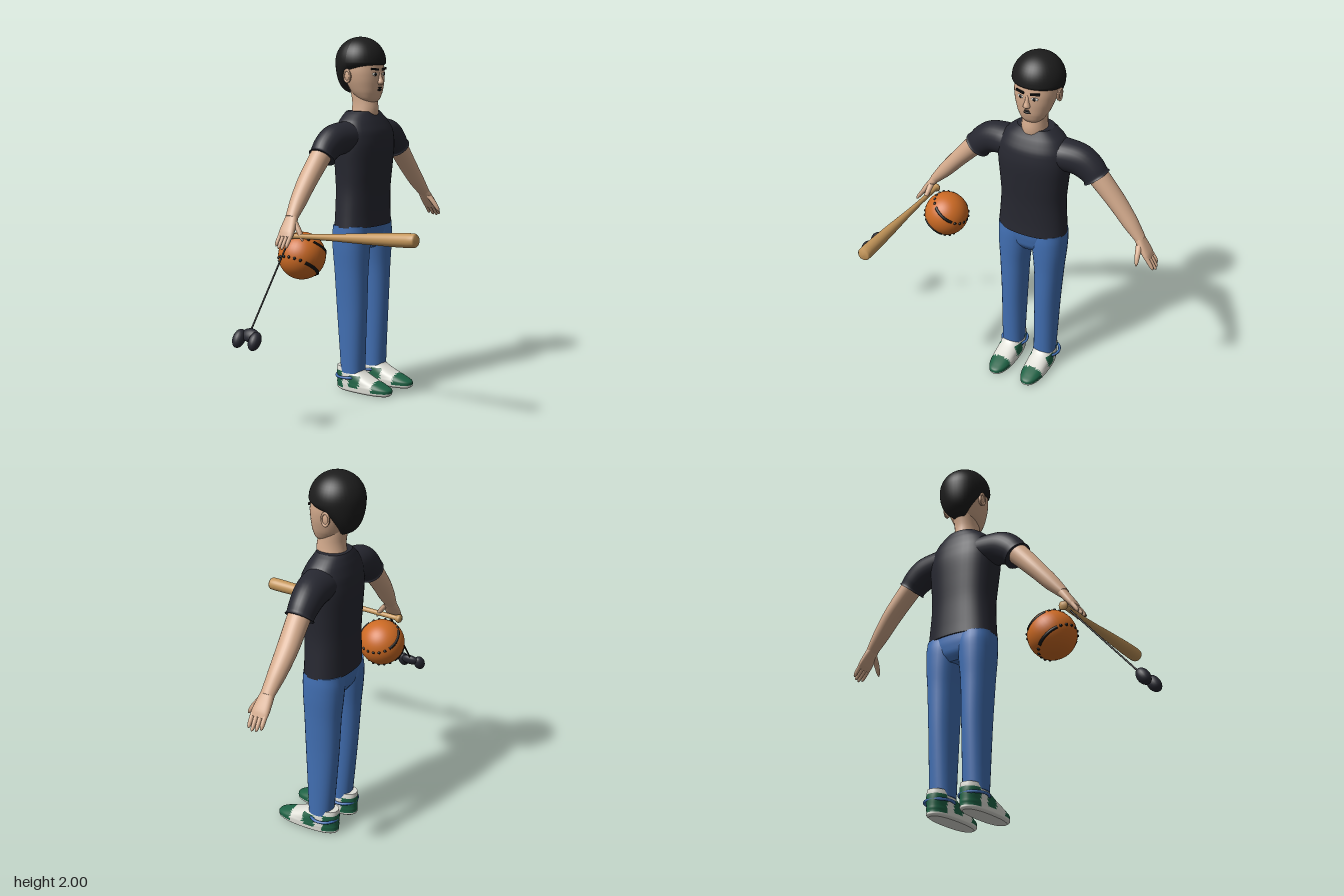
import * as THREE from 'three';

const V = (x, y, z) => new THREE.Vector3(x, y, z);
const MID = 0.17; // mirror plane of the figure

const mat = (name, color) => {
  const m = new THREE.MeshStandardMaterial({ color });
  m.name = name;
  return m;
};

// Smooth loft through rows [x, y, z, halfWidth, halfDepth]; rings stay parallel to z.
// pick(x, y, z) may return a material index for each facet.
function loft(rows, { steps = 4, seg = 28, e = 2, pick = () => 0 } = {}) {
  const path = new THREE.CatmullRomCurve3(rows.map(r => V(r[0], r[1], r[2])));
  const size = new THREE.CatmullRomCurve3(rows.map(r => V(r[3], r[4], 0)));
  const n = (rows.length - 1) * steps, pos = [], lists = [[], []];
  const pw = c => Math.sign(c) * Math.abs(c) ** (2 / e);
  for (let i = 0; i <= n; i++) {
    const c = path.getPoint(i / n), s = size.getPoint(i / n), t = path.getTangent(i / n);
    const l = Math.hypot(t.x, t.y) || 1;
    for (let j = 0; j < seg; j++) {
      const a = j / seg * Math.PI * 2, u = s.x * pw(Math.cos(a));
      pos.push(c.x + t.y / l * u, c.y - t.x / l * u, c.z + s.y * pw(Math.sin(a)));
    }
  }
  const add = (...f) => {
    const m = k => f.reduce((q, v) => q + pos[v * 3 + k], 0) / f.length;
    const out = lists[pick(m(0), m(1), m(2))];
    out.push(f[0], f[1], f[2]);
    if (f.length > 3) out.push(f[0], f[2], f[3]);
  };
  for (let i = 0; i < n; i++) for (let j = 0; j < seg; j++) {
    const k = (j + 1) % seg;
    add(i * seg + j, (i + 1) * seg + j, (i + 1) * seg + k, i * seg + k);
  }
  // end caps with their own vertices, so that the rims stay sharp
  for (const [i, flip] of [[0, false], [n, true]]) {
    const base = pos.length / 3, c = path.getPoint(i / n);
    for (let j = 0; j < seg; j++) pos.push(...pos.slice((i * seg + j) * 3, (i * seg + j) * 3 + 3));
    pos.push(c.x, c.y, c.z);
    for (let j = 0; j < seg; j++) {
      const k = (j + 1) % seg;
      add(base + seg, base + (flip ? k : j), base + (flip ? j : k));
    }
  }
  const g = new THREE.BufferGeometry();
  g.setAttribute('position', new THREE.Float32BufferAttribute(pos, 3));
  g.setIndex([...lists[0], ...lists[1]]);
  g.addGroup(0, lists[0].length, 0);
  g.addGroup(lists[0].length, lists[1].length, 1);
  g.computeVertexNormals();
  return g;
}

export function createModel() {
  const root = new THREE.Group();
  root.name = 'sportsman';
  const skin = mat('skin', 0xd3aa8c), hairM = mat('hair', 0x1c1c1c), shirtM = mat('dark cloth', 0x272831);
  const denim = mat('denim', 0x4270b4), white = mat('white', 0xdeded6), green = mat('green', 0x1e6245);
  const orange = mat('orange', 0xcc6a24), wood = mat('wood', 0xc4965a), black = mat('black', 0x121212);

  const put = (name, geo, m, p, parent = root) => {
    const mesh = new THREE.Mesh(geo, m);
    mesh.name = name;
    if (p) mesh.position.set(...p);
    parent.add(mesh);
    return mesh;
  };
  const blob = (name, m, p, s, parent) => {
    const b = put(name, new THREE.SphereGeometry(1, 20, 14), m, p, parent);
    b.scale.set(...s);
    return b;
  };

  // Torso and hips
  put('shirt', loft([
    [MID, 0.95, -0.31, 0.2, 0.122], [MID, 1.02, -0.31, 0.194, 0.12], [MID, 1.15, -0.307, 0.186, 0.122],
    [MID, 1.28, -0.303, 0.194, 0.131], [MID, 1.4, -0.3, 0.204, 0.137], [MID, 1.48, -0.3, 0.198, 0.128],
    [MID, 1.54, -0.305, 0.165, 0.105], [MID, 1.575, -0.308, 0.125, 0.088], [MID, 1.592, -0.308, 0.1, 0.08],
  ], { seg: 40, e: 2.3 }), shirtM);
  put('hips', loft([
    [MID, 0.82, -0.315, 0.1, 0.07], [MID, 0.86, -0.315, 0.165, 0.098],
    [MID, 0.91, -0.315, 0.193, 0.108], [MID, 0.965, -0.312, 0.194, 0.112],
  ], { seg: 36, e: 2.3 }), denim);

  // Neck and head
  put('neck', loft([
    [MID, 1.55, -0.3, 0.08, 0.08], [MID, 1.6, -0.292, 0.069, 0.078],
    [MID, 1.65, -0.295, 0.066, 0.074], [MID, 1.73, -0.31, 0.068, 0.075],
  ]), skin);
  put('head', loft([
    [MID, 1.637, -0.255, 0.036, 0.03], [MID, 1.66, -0.265, 0.064, 0.057], [MID, 1.7, -0.28, 0.087, 0.085],
    [MID, 1.76, -0.292, 0.107, 0.103], [MID, 1.82, -0.305, 0.116, 0.115],
    [MID, 1.88, -0.31, 0.114, 0.113], [MID, 1.94, -0.31, 0.08, 0.08],
  ], { seg: 36, e: 2.2 }), skin);
  put('nose', loft([
    [MID, 1.737, -0.19, 0.012, 0.008], [MID, 1.75, -0.187, 0.02, 0.02],
    [MID, 1.775, -0.191, 0.012, 0.015], [MID, 1.81, -0.196, 0.008, 0.008],
  ], { seg: 14 }), skin);
  blob('mouth', black, [MID, 1.71, -0.193], [0.02, 0.006, 0.005]);
  blob('upperLip', black, [MID, 1.722, -0.191], [0.017, 0.004, 0.005]);

  // Hair cap: a sphere whose lower half hangs further down toward the nape
  const hair = new THREE.SphereGeometry(1, 40, 28), hp = hair.attributes.position;
  for (let i = 0; i < hp.count; i++) {
    const x = hp.getX(i), y = hp.getY(i), z = hp.getZ(i), l = Math.hypot(x, z);
    const hz = l > 1e-4 ? z / l : 0, k = y < 0 && l > 1e-4 ? l ** -0.45 : 1;
    const drop = hz > 0 ? 0.06 - 0.03 * hz : 0.06 + 0.115 * Math.min(1, -hz * 1.3);
    hp.setXYZ(i, MID + 0.14 * x * k, 1.862 + y * (y < 0 ? drop : 0.138), -0.322 + 0.142 * z * k);
  }
  hair.computeVertexNormals();
  put('hair', hair, hairM);

  // Paired parts, written for the model's right side and mirrored to its left
  for (const s of [1, -1]) {
    const side = s > 0 ? 'right' : 'left';
    const X = x => (s > 0 ? x : 2 * MID - x);
    const limb = (name, rows, m, opt) => put(side + name, loft(rows.map(([x, ...r]) => [X(x), ...r]), opt), m);

    // Face details
    blob(side + 'Eye', white, [X(0.13), 1.796, -0.196], [0.019, 0.009, 0.006]).rotation.y = -s * 0.25;
    blob(side + 'Pupil', black, [X(0.131), 1.796, -0.192], [0.009, 0.009, 0.005]);
    const brow = put(side + 'Brow', new THREE.BoxGeometry(0.05, 0.011, 0.009), black, [X(0.127), 1.824, -0.193]);
    brow.rotation.set(0, -s * 0.25, -s * 0.1);
    blob(side + 'Ear', skin, [X(0.054), 1.785, -0.325], [0.013, 0.036, 0.022]);
    const rim = put(side + 'EarRim', new THREE.TorusGeometry(0.02, 0.005, 8, 20), skin, [X(0.045), 1.787, -0.325]);
    rim.rotation.y = Math.PI / 2;
    rim.scale.y = 1.6;

    // Sleeve, arm and hand
    limb('Sleeve', [
      [0.09, 1.455, -0.305, 0.085, 0.1], [-0.01, 1.452, -0.31, 0.087, 0.092], [-0.09, 1.437, -0.318, 0.088, 0.082],
      [-0.15, 1.398, -0.322, 0.08, 0.074], [-0.178, 1.367, -0.322, 0.073, 0.07], [-0.186, 1.357, -0.322, 0.079, 0.075],
    ], shirtM);
    limb('Arm', [
      [-0.14, 1.42, -0.322, 0.06, 0.06], [-0.22, 1.335, -0.325, 0.055, 0.058], [-0.31, 1.235, -0.327, 0.048, 0.055],
      [-0.39, 1.142, -0.321, 0.042, 0.047], [-0.462, 1.06, -0.312, 0.027, 0.036],
    ], skin);
    limb('Palm', [
      [-0.45, 1.073, -0.312, 0.024, 0.034], [-0.478, 1.035, -0.308, 0.022, 0.042],
      [-0.51, 0.992, -0.304, 0.019, 0.047], [-0.527, 0.968, -0.303, 0.013, 0.045],
    ], skin, { e: 2.5 });
    for (let f = 0; f < 4; f++) {
      const z = -0.337 + f * 0.023, d = [0.012, 0.003, 0, 0.008][f];
      limb('Finger' + (f + 1), [
        [-0.515, 0.985, z, 0.012, 0.012], [-0.545, 0.945, z, 0.011, 0.011],
        [-0.566 + d, 0.917 + d, z, 0.008, 0.008], [-0.571 + d, 0.91 + d, z, 0.002, 0.002],
      ], skin, { seg: 12 });
    }
    limb('Thumb', [
      [-0.467, 1.045, -0.285, 0.018, 0.018], [-0.475, 1.0, -0.25, 0.015, 0.017],
      [-0.481, 0.965, -0.228, 0.011, 0.012], [-0.484, 0.948, -0.22, 0.003, 0.004],
    ], skin, { seg: 12 });

    // Trouser leg
    limb('TrouserLeg', [
      [0.067, 0.11, -0.308, 0.065, 0.068], [0.066, 0.3, -0.311, 0.068, 0.08], [0.065, 0.5, -0.313, 0.072, 0.092],
      [0.063, 0.7, -0.314, 0.081, 0.1], [0.065, 0.82, -0.315, 0.093, 0.108], [0.068, 0.9, -0.315, 0.099, 0.11],
      [0.07, 0.955, -0.313, 0.099, 0.105],
    ], denim, { e: 2.2 });

    // Shoe with a white base and green panels
    const cx = X(0.067);
    const panels = (x, y, z) => {
      if (y < 0.02) return 0;
      if (z > -0.14) return 1;
      if (z < -0.345 && y < 0.115) return 1;
      return z < -0.225 && z > -0.295 && y > 0.03 && y < 0.1 && Math.abs(x - cx) > 0.025 ? 1 : 0;
    };
    const sole = [[0, -0.4, -0.06, 0.052], [0.012, -0.412, -0.046, 0.066], [0.035, -0.412, -0.046, 0.067],
      [0.055, -0.412, -0.085, 0.065], [0.085, -0.412, -0.17, 0.062], [0.115, -0.41, -0.232, 0.057],
      [0.14, -0.408, -0.252, 0.05]];
    limb('Shoe', sole.map(([y, z0, z1, w]) => [0.067, y, (z0 + z1) / 2, w, (z1 - z0) / 2]),
      [white, green], { seg: 64, steps: 6, e: 2.4, pick: panels });
    const strap = put(side + 'AnkleStrap', new THREE.TorusGeometry(0.075, 0.008, 8, 32), denim, [X(0.063), 0.085, -0.33]);
    strap.rotation.x = Math.PI / 2;
  }

  // Ball with two bands of seams, solid at front and back and dotted at the sides
  const ball = new THREE.Group();
  ball.name = 'ball';
  ball.position.set(-0.385, 0.85, -0.305);
  ball.rotation.z = -0.6;
  root.add(ball);
  put('ballSkin', new THREE.SphereGeometry(0.127, 40, 28), orange, null, ball);
  for (const y of [-0.06, 0.06]) for (const a of [Math.PI / 2, -Math.PI / 2]) {
    const arc = new THREE.TorusGeometry(0.108, 0.009, 8, 20, 1.2);
    arc.rotateZ(a - 0.6);
    arc.rotateX(Math.PI / 2);
    put('seam', arc, black, [0, y, 0], ball);
    for (let i = 0; i < 6; i++) {
      const t = a + 0.85 + i * 0.3;
      blob('seamDot', black, [Math.cos(t) * 0.111, y, Math.sin(t) * 0.111], [0.008, 0.008, 0.008], ball);
    }
  }

  // Bat, pointing forward from the right hand
  const aim = (mesh, a, b) => mesh.quaternion.setFromUnitVectors(V(0, 1, 0), b.clone().sub(a).normalize());
  const batA = V(-0.485, 0.965, -0.37), batB = V(-0.445, 1.015, 0.47);
  const profile = [[0, 0], [0.02, 0.002], [0.025, 0.012], [0.022, 0.022], [0.014, 0.035], [0.014, 0.2], [0.019, 0.35],
    [0.029, 0.55], [0.035, 0.7], [0.037, 0.8], [0.035, 0.832], [0.028, 0.841], [0, 0.843]];
  const bat = put('bat', new THREE.LatheGeometry(profile.map(p => new THREE.Vector2(...p)), 28), wood, batA.toArray());
  aim(bat, batA, batB);

  // Club with a twin-lobed head
  const clubA = V(-0.49, 0.96, -0.3), clubB = V(-0.86, 0.53, -0.26);
  const shaft = put('clubShaft', new THREE.CylinderGeometry(0.0045, 0.0045, clubA.distanceTo(clubB), 10), black,
    clubA.clone().add(clubB).multiplyScalar(0.5).toArray());
  aim(shaft, clubA, clubB);
  for (const z of [-0.307, -0.203]) blob('clubLobe', shirtM, [-0.887, 0.503, z], [0.033, 0.05, 0.032]).rotation.z = -0.6;
  blob('clubBridge', shirtM, [-0.862, 0.522, -0.255], [0.024, 0.036, 0.055]).rotation.z = -0.6;

  return root;
}
